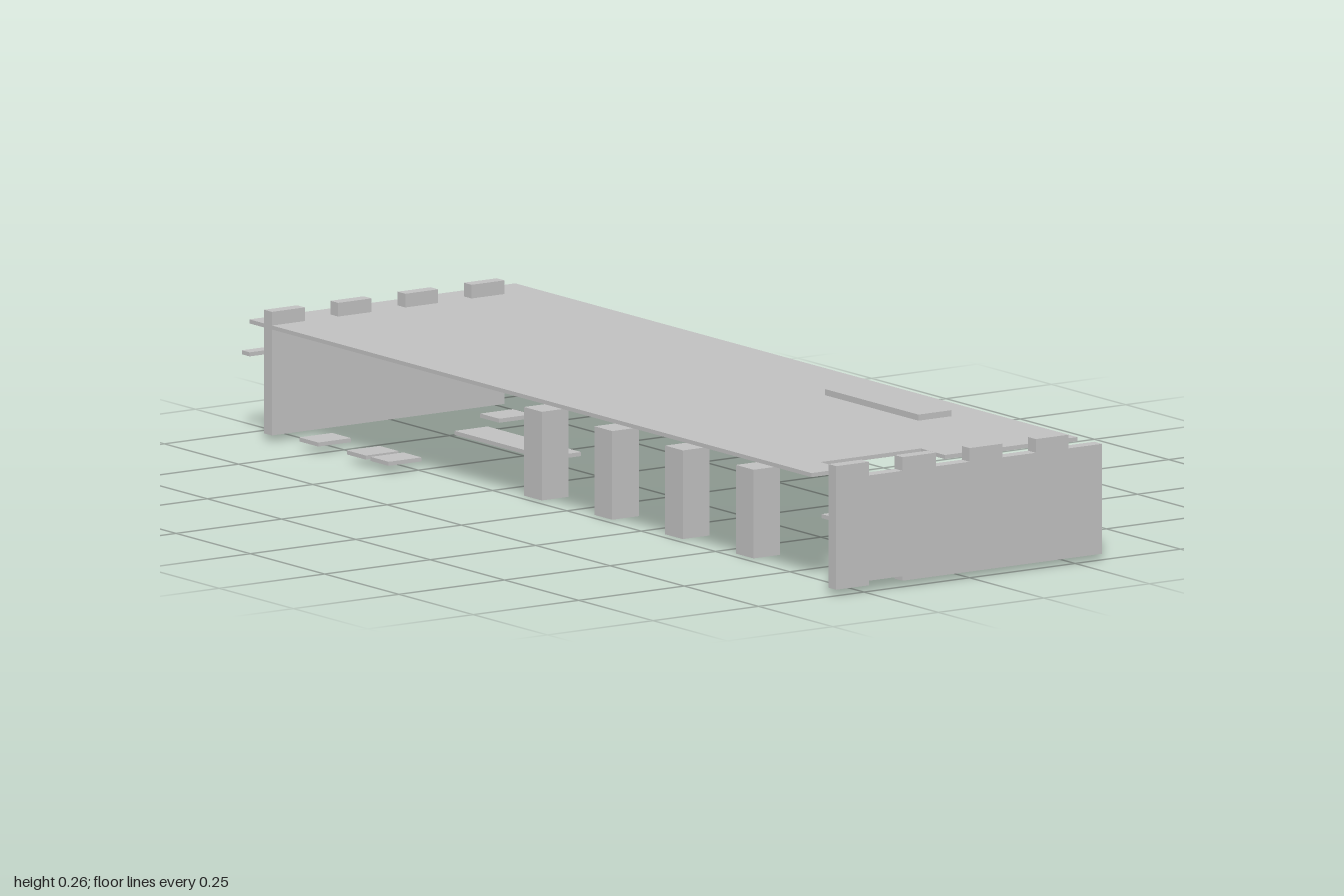
import * as THREE from 'three';

export function createModel() {
  const group = new THREE.Group();
  const grey = new THREE.MeshStandardMaterial({ color: 0xc0c0c0 });
  grey.name = 'plain grey';

  // Box given by its limits on each axis
  const box = (name, x0, x1, y0, y1, z0, z1) => {
    const mesh = new THREE.Mesh(new THREE.BoxGeometry(x1 - x0, y1 - y0, z1 - z0), grey);
    mesh.position.set((x0 + x1) / 2, (y0 + y1) / 2, (z0 + z1) / 2);
    mesh.name = name;
    group.add(mesh);
  };
  // Outline extruded along +z
  const extrude = (name, points, depth) => {
    const shape = new THREE.Shape(points.map(([x, y]) => new THREE.Vector2(x, y)));
    const mesh = new THREE.Mesh(new THREE.ExtrudeGeometry(shape, { depth, bevelEnabled: false }), grey);
    mesh.name = name;
    group.add(mesh);
    return mesh;
  };

  const L = -0.316, R = 0.314;
  const roofY = 0.229, topY = 0.256, baseY = 0.012;
  // Merlon spans shared by both end walls
  const merlons = [[L, -0.238], [-0.159, -0.08], [0, 0.078], [0.157, 0.235]];
  const battlement = merlons.flatMap(([a, b]) => [[a, roofY], [a, topY], [b, topY], [b, roofY]]).slice(1);

  // Roof slab with a notch in its front edge; outline y becomes -z
  const roof = extrude('roof', [
    [L, -0.917], [-0.238, -0.917], [-0.238, -0.836], [0, -0.836],
    [0, -0.917], [R, -0.917], [R, 0.975], [L, 0.975],
  ], 0.008);
  roof.rotation.x = -Math.PI / 2;
  roof.position.y = roofY - 0.008;

  // Front wall with a shallow slot in its foot
  const front = extrude('frontWall', [
    ...battlement, [R, roofY], [R, baseY],
    [-0.159, baseY], [-0.159, 0.021], [-0.238, 0.021], [-0.238, baseY], [L, baseY],
  ], 0.026);
  front.position.z = 0.974;

  // Back wall, cut short on one side with a stub under the roof
  const back = extrude('backWall', [
    ...battlement, [R, roofY - 0.001], [R, 0.205], [0.235, 0.205], [0.235, baseY], [L, baseY],
  ], 0.026);
  back.position.z = -0.925;

  // Row of pillars
  for (const z of [0.57, 0.332, 0.094, -0.143])
    box('pillar', -0.23, -0.167, 0, 0.175, z - 0.03, z + 0.03);

  // Raised strip on the roof
  box('roofStrip', 0.157, 0.235, roofY, 0.241, 0.29, 0.605);

  // Thin loose plates: x0, x1, bottom, z0, z1
  const plates = [
    [0, 0.078, 0.004, -0.733, -0.418],
    [0, 0.078, 0.052, -0.647, -0.583],
    [L, -0.238, 0.015, -0.567, -0.506],
    [L, -0.238, 0.015, -0.647, -0.583],
    [L, -0.238, 0.015, -0.807, -0.743],
    [-0.238, -0.159, 0.119, 0.84, 0.918],
    [-0.159, -0.08, 0.004, 0.84, 0.918],
    [L, -0.238, 0.156, -1, -0.974],
    [0.157, 0.235, 0.015, -1, -0.974],
  ];
  for (const [x0, x1, y, z0, z1] of plates) box('plate', x0, x1, y, y + 0.008, z0, z1);

  return group;
}
